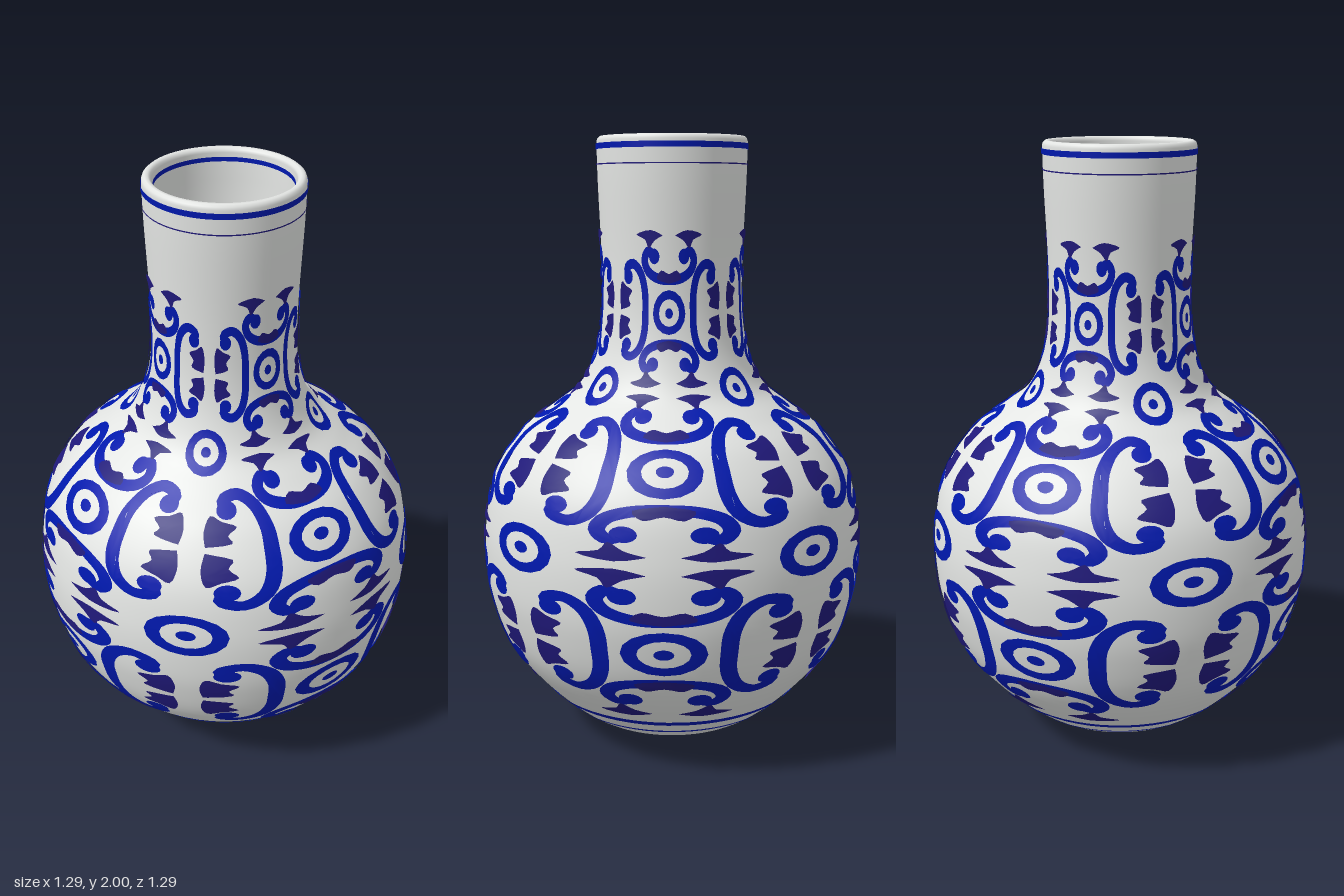
import * as THREE from 'three';
import { mergeGeometries } from 'three/addons/utils/BufferGeometryUtils.js';

const V2 = (p) => new THREE.Vector2(p[0], p[1]);

// Outer profile: [radius, height]
const outline = new THREE.SplineCurve([
  [0, 0], [0.15, 0.008], [0.31, 0.06], [0.46, 0.19], [0.57, 0.335], [0.622, 0.49], [0.638, 0.62], [0.632, 0.76],
  [0.595, 0.91], [0.505, 1.04], [0.4, 1.122], [0.31, 1.195], [0.258, 1.3], [0.234, 1.43],
  [0.232, 1.6], [0.242, 1.85], [0.245, 1.985],
].map(V2)).getPoints(90);

// Radius and slope of the outer wall at height y
function wall(y) {
  let i = 1;
  while (i < outline.length - 1 && outline[i].y < y) i++;
  const a = outline[i - 1], b = outline[i], t = (y - a.y) / (b.y - a.y);
  return { r: a.x + (b.x - a.x) * t, slope: (b.x - a.x) / (b.y - a.y) };
}

// Pattern space: u counts eighth turns, v counts rows of motifs
const rows = [0.2, 0.47, 0.75, 1.01, 1.21, 1.45, 1.72];
function rowHeight(v) {
  const i = Math.min(Math.max(Math.floor(v), 0), rows.length - 2);
  return rows[i] + (rows[i + 1] - rows[i]) * (v - i);
}

// Triangulates a flat shape, splits each triangle in four and wraps it on the wall
function wrap(shape, lift) {
  const src = new THREE.ShapeGeometry(shape, 8).toNonIndexed().attributes.position;
  const pos = [], nor = [];
  const put = (p) => {
    const a = p.x * Math.PI / 4, y = rowHeight(p.y), { r, slope } = wall(y);
    const n = new THREE.Vector3(Math.sin(a), -slope, Math.cos(a)).normalize();
    pos.push(Math.sin(a) * r + n.x * lift, y + n.y * lift, Math.cos(a) * r + n.z * lift);
    nor.push(n.x, n.y, n.z);
  };
  for (let i = 0; i < src.count; i += 3) {
    const [a, b, c] = [0, 1, 2].map((k) => new THREE.Vector2(src.getX(i + k), src.getY(i + k)));
    const mid = (p, q) => p.clone().add(q).multiplyScalar(0.5);
    const ab = mid(a, b), bc = mid(b, c), ca = mid(c, a);
    [a, ab, ca, ab, b, bc, ca, bc, c, ab, bc, ca].forEach(put);
  }
  const g = new THREE.BufferGeometry();
  g.setAttribute('position', new THREE.Float32BufferAttribute(pos, 3));
  g.setAttribute('normal', new THREE.Float32BufferAttribute(nor, 3));
  return g;
}

// Outline of a brush stroke of constant width along a curve
function stroke(points, half, steps) {
  const curve = new THREE.SplineCurve(points), left = [], right = [];
  for (let i = 0; i <= steps; i++) {
    const p = curve.getPoint(i / steps), t = curve.getTangent(i / steps);
    left.push(new THREE.Vector2(p.x - t.y * half, p.y + t.x * half));
    right.unshift(new THREE.Vector2(p.x + t.y * half, p.y - t.x * half));
  }
  return new THREE.Shape([...left, ...right]);
}

function disc(u, v, radius) {
  return new THREE.Shape().absarc(u, v, radius, 0, Math.PI * 2);
}

function blob(points) {
  const pts = new THREE.SplineCurve([...points, points[0]]).getPoints(points.length * 3);
  pts.pop();
  return new THREE.Shape(pts);
}

const mirrorPath = (half) => [...half.slice(1).reverse().map(([s, d]) => [-s, d]), ...half];

// Half scrolls and leaves: [offset along the scroll, distance from the cell centre]
const flatScroll = [[0, 0.61], [0.2, 0.59], [0.36, 0.51], [0.42, 0.38], [0.35, 0.28], [0.25, 0.34]];
const tallScroll = [[0, 0.59], [0.25, 0.58], [0.46, 0.51], [0.57, 0.37], [0.52, 0.23], [0.42, 0.26]];
const flatBack = [[0, 0.65], [0.2, 0.6], [0.13, 0.5], [0, 0.54], [-0.13, 0.5], [-0.2, 0.6]];
const flatLeaf = [[0.1, 0.1], [0.3, 0.04], [0.55, 0.09], [0.4, 0.15], [0.34, 0.25], [0.24, 0.16]];
const tallLeaf = [[0.03, 0.1], [0.2, 0.08], [0.36, 0.12], [0.31, 0.22], [0.26, 0.34], [0.17, 0.27], [0.08, 0.3]];
const mirrored = (leaf) => leaf.map(([s, d]) => [-s, d]);

export function createModel() {
  const group = new THREE.Group();
  const mat = (name, color, side = THREE.FrontSide) => {
    const m = new THREE.MeshStandardMaterial({ color, side });
    m.name = name;
    return m;
  };
  const porcelain = mat('porcelain', 0xe3e5e3);
  const blue = mat('cobaltBlue', 0x0018ac, THREE.DoubleSide);
  const dark = mat('deepIndigo', 0x20197a, THREE.DoubleSide);
  const add = (name, geometry, material) => {
    const mesh = new THREE.Mesh(geometry, material);
    mesh.name = name;
    group.add(mesh);
  };

  // Hollow body with a rounded lip
  const profile = [...outline, ...[[0.242, 1.994], [0.235, 2], [0.225, 2], [0.218, 1.994], [0.215, 1.985]].map(V2)];
  for (let y = 1.9; y > 0.1; y -= 0.06) profile.push(new THREE.Vector2(wall(y).r - 0.028, y));
  profile.push(V2([0.2, 0.07]), V2([0, 0.06]));
  add('vaseBody', new THREE.LatheGeometry(profile, 64), porcelain);

  const rings = [], dots = [], scrolls = [], leaves = [];

  // Medallion: ring with a dot
  function medallion(u, v) {
    const ring = disc(u, v, 0.275);
    ring.holes.push(new THREE.Path().absarc(u, v, 0.17, 0, Math.PI * 2, true));
    rings.push(wrap(ring, 0.005));
    dots.push(wrap(disc(u, v, 0.065), 0.005));
  }

  // Scroll with curled ends plus its leaves; place maps [s, d] to pattern space
  function scroll(half, leafShapes, place) {
    const path = mirrorPath(half).map(place);
    scrolls.push(wrap(stroke(path, 0.058, 36), 0.005));
    for (const p of [path[0], path[path.length - 1]]) scrolls.push(wrap(disc(p.x, p.y, 0.09), 0.005));
    for (const leaf of leafShapes) leaves.push(wrap(blob(leaf.map(place)), 0.007));
  }

  for (let q = 0; q < 4; q++) {
    const u = q * 2;
    for (const v of [1, 3, 5]) medallion(u, v);
    for (const v of [2, 4]) medallion(u + 1, v);
    // Upright pairs between medallions, arching up and down
    for (const [v, dir] of [[0, 1], [2, 1], [2, -1], [4, 1], [4, -1], [6, -1]]) {
      scroll(flatScroll, [flatBack, flatLeaf, mirrored(flatLeaf)],
        ([s, d]) => new THREE.Vector2(u + s, v + dir * d));
    }
    // Sideways pairs on the diagonals
    for (const v of [1, 3, 5]) for (const dir of [1, -1]) {
      scroll(tallScroll, [tallLeaf, mirrored(tallLeaf)],
        ([s, d]) => new THREE.Vector2(u + 1 + dir * d, v + s));
    }
  }
  add('medallionRings', mergeGeometries(rings), blue);
  add('medallionDots', mergeGeometries(dots), blue);
  add('scrolls', mergeGeometries(scrolls), blue);
  add('leaves', mergeGeometries(leaves), dark);

  // Painted bands on the foot and lip, outside and inside
  function band(name, y, half, material, offset = 0.003) {
    const pts = [-half, half].map((h) => new THREE.Vector2(wall(y + h).r + offset, y + h));
    if (offset < 0) pts.reverse();
    add(name, new THREE.LatheGeometry(pts, 64), material);
  }
  band('footBand', 0.158, 0.01, blue, 0.005);
  band('footLine', 0.105, 0.005, blue, 0.005);
  band('lipBand', 1.968, 0.009, blue);
  band('neckLine', 1.912, 0.002, dark);
  band('innerLipBand', 1.966, 0.007, blue, -0.034);
  return group;
}
